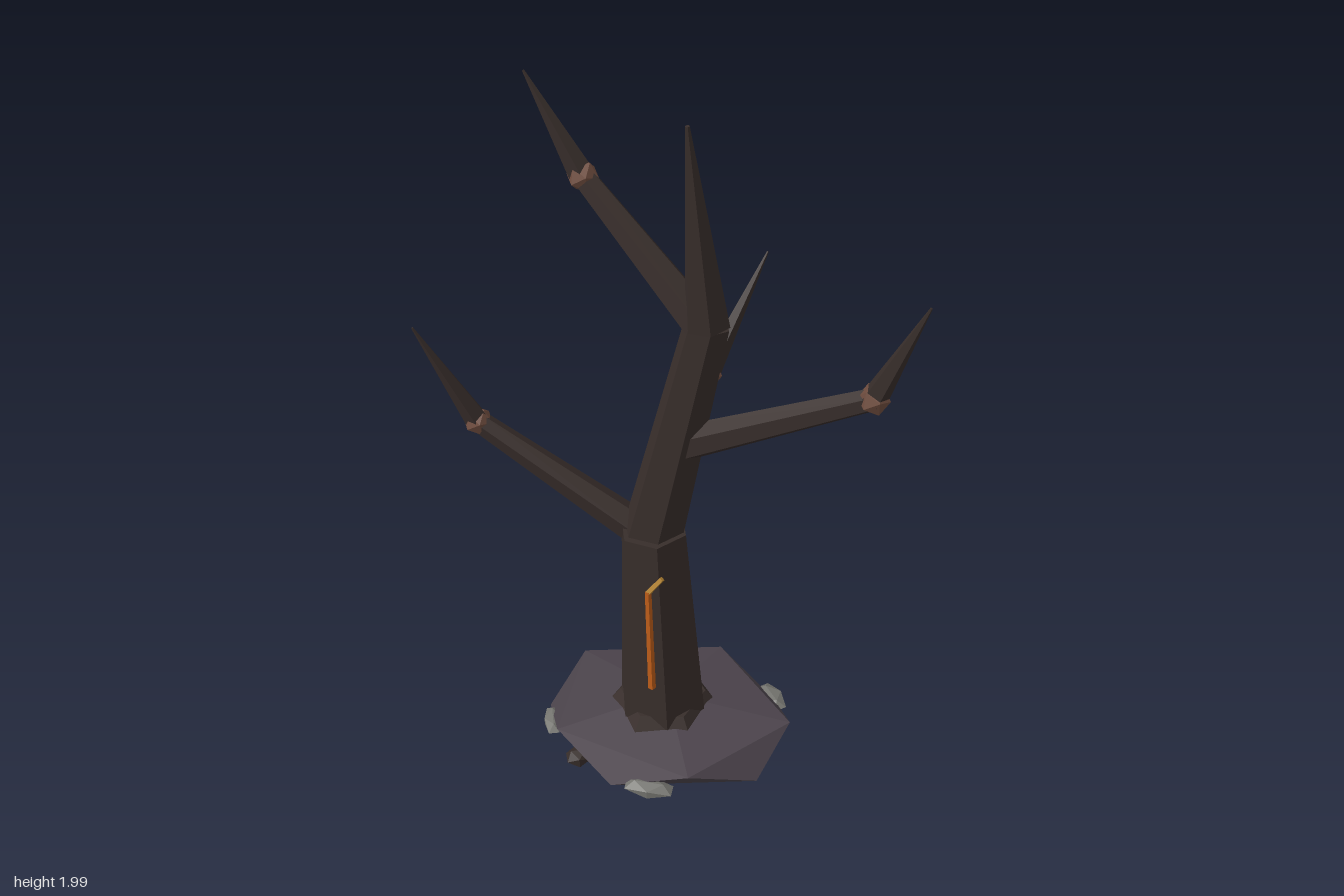
import * as THREE from 'three';
import { ConvexGeometry } from 'three/addons/geometries/ConvexGeometry.js';

const mat = (color) => new THREE.MeshStandardMaterial({ color, flatShading: true, roughness: 1 });
const V = (p) => new THREE.Vector3(...p);

export function createModel() {
  const group = new THREE.Group();
  const bark = mat(0x372d2a), knotMat = mat(0x6e4c3e), soil = mat(0x4b434b);
  const stoneMat = mat(0x74746f), sap = mat(0xb85a18), sapTip = mat(0xb08030);

  const add = (name, geometry, material, pos) => {
    const mesh = new THREE.Mesh(geometry, material);
    mesh.name = name;
    if (pos) mesh.position.set(...pos);
    group.add(mesh);
    return mesh;
  };

  // Tapered prism running from point a to point b
  const limb = (name, a, b, r0, r1, sides = 6, material = bark, turn = 0.31) => {
    const dir = V(b).sub(V(a));
    const geo = new THREE.CylinderGeometry(r1, r0, dir.length(), sides);
    geo.rotateY(turn);
    const mesh = add(name, geo, material);
    mesh.position.copy(V(a).add(V(b)).multiplyScalar(0.5));
    mesh.quaternion.setFromUnitVectors(new THREE.Vector3(0, 1, 0), dir.normalize());
    return mesh;
  };

  // Flattened ground clod: two poles and two staggered rings of five
  const pts = [V([0.025, 0.19, 0.123]), V([0.025, 0.01, 0.123])];
  for (let i = 0; i < 10; i++) {
    const t = (i * Math.PI) / 5;
    pts.push(V([0.025 + 0.365 * Math.cos(t), i % 2 ? 0.06 : 0.145, 0.123 + 0.279 * Math.sin(t)]));
  }
  add('groundClod', new ConvexGeometry(pts), soil);

  // Pale stones on the rim and dark lumps underneath
  const lump = (name, material, pos, size, turn) => {
    const m = add(name, new THREE.IcosahedronGeometry(1, 0), material, pos);
    m.scale.set(...size);
    m.rotation.y = turn;
  };
  lump('stone', stoneMat, [0.025, 0.08, 0.39], [0.08, 0.025, 0.035], 0);
  lump('stone', stoneMat, [-0.31, 0.08, 0.2], [0.06, 0.022, 0.03], 1.9);
  lump('stone', stoneMat, [0.315, 0.08, -0.025], [0.065, 0.022, 0.04], -0.9);
  lump('rootLump', bark, [-0.21, 0.045, 0.29], [0.04, 0.03, 0.035], 0.4);
  lump('rootLump', bark, [0.25, 0.045, -0.02], [0.04, 0.03, 0.035], 1.1);

  // Trunk in three sections, with a low root flare
  limb('rootFlare', [0.01, 0.14, 0.12], [0.01, 0.2, 0.12], 0.17, 0.125, 6, bark, 0.7);
  limb('lowerTrunk', [0.01, 0.12, 0.12], [-0.02, 0.8, 0.098], 0.137, 0.096);
  limb('upperTrunk', [-0.025, 0.77, 0.09], [0.115, 1.46, 0.082], 0.086, 0.058);
  limb('leader', [0.115, 1.455, 0.082], [0.065, 1.975, 0.105], 0.06, 0.006);

  // Branches: start, knot, tip
  const branches = [
    [[-0.06, 0.765, 0.075], [-0.51, 1.055, 0.055], [-0.645, 1.36, 0.103]],
    [[0.07, 1.1, 0.095], [0.535, 1.35, 0.167], [0.642, 1.63, 0.192]],
    [[0.005, 0.83, 0.06], [0.055, 1.06, -0.285], [0.19, 1.39, -0.422]],
    [[0.1, 1.455, 0.085], [-0.22, 1.755, -0.045], [-0.362, 2.0, -0.07]],
  ];
  for (const [start, knot, tip] of branches) {
    limb('branch', start, knot, 0.05, 0.03);
    limb('twig', knot, tip, 0.034, 0.003, 5);
    const k = add('knot', new THREE.IcosahedronGeometry(0.041, 0), knotMat, knot);
    k.rotation.set(0.3, 0.5, 0);
  }

  // Sap streak down the front of the trunk
  limb('sapStreak', [0.005, 0.335, 0.247], [-0.012, 0.665, 0.209], 0.011, 0.009, 4, sap);
  limb('sapStreakTop', [-0.012, 0.66, 0.209], [0.025, 0.71, 0.2], 0.009, 0.008, 4, sapTip);
  return group;
}
